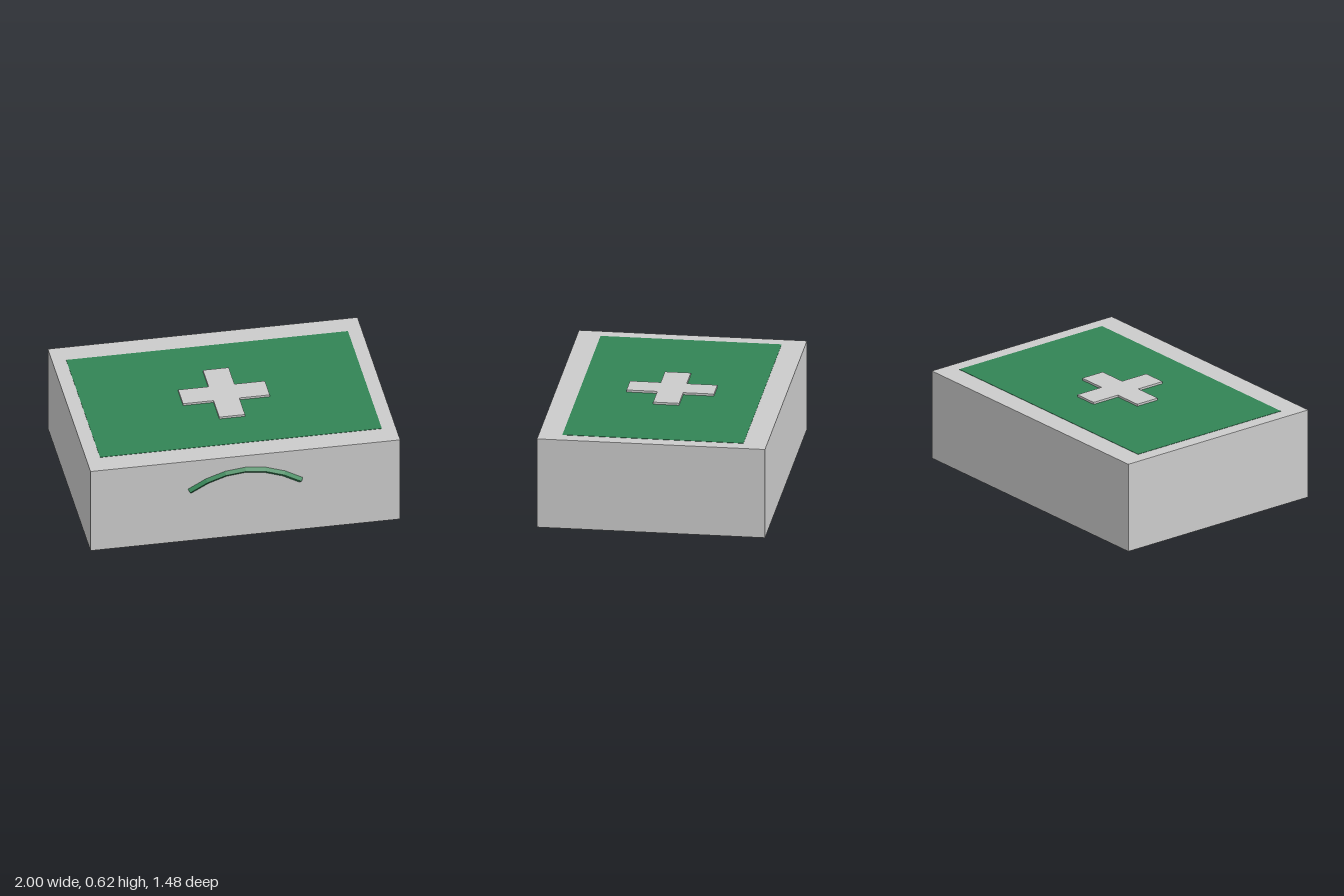
import * as THREE from 'three';

export function createModel() {
  const group = new THREE.Group();
  const grey = new THREE.MeshStandardMaterial({ color: 0xcccccc });
  const green = new THREE.MeshStandardMaterial({ color: 0x328455 });
  const greenFacets = new THREE.MeshStandardMaterial({
    color: 0x328455, flatShading: true, side: THREE.DoubleSide,
  });

  function add(name, geometry, material, x, y, z) {
    const mesh = new THREE.Mesh(geometry, material);
    mesh.name = name;
    mesh.position.set(x, y, z);
    group.add(mesh);
    return mesh;
  }

  // Case body
  const caseZ = -0.01;
  add('caseBody', new THREE.BoxGeometry(2, 0.598, 1.46), grey, 0, 0.301, caseZ);

  // Thin inset panels, barely proud of the lid and the base
  const panel = new THREE.BoxGeometry(1.82, 0.004, 1.16);
  add('topPanel', panel, green, 0, 0.6, caseZ);
  add('bottomPanel', panel, green, 0, 0.002, caseZ);

  // Raised cross on the lid
  const a = 0.083, b = 0.28;
  const outline = [
    [-a, -b], [a, -b], [a, -a], [b, -a], [b, a], [a, a],
    [a, b], [-a, b], [-a, a], [-b, a], [-b, -a], [-a, -a],
  ];
  const cross = new THREE.Shape(outline.map(([x, y]) => new THREE.Vector2(x, y)));
  const crossGeometry = new THREE.ExtrudeGeometry(cross, { depth: 0.016, bevelEnabled: false });
  crossGeometry.rotateX(-Math.PI / 2);
  add('lidCross', crossGeometry, grey, 0, 0.6, caseZ);

  // Arched handle: four-sided tube half sunk into the front
  const arch = new THREE.QuadraticBezierCurve3(
    new THREE.Vector3(-0.36, 0.375, 0),
    new THREE.Vector3(0, 0.611, 0),
    new THREE.Vector3(0.36, 0.375, 0),
  );
  add('handle', new THREE.TubeGeometry(arch, 6, 0.021, 4, false), greenFacets, 0, 0, 0.719);

  return group;
}
